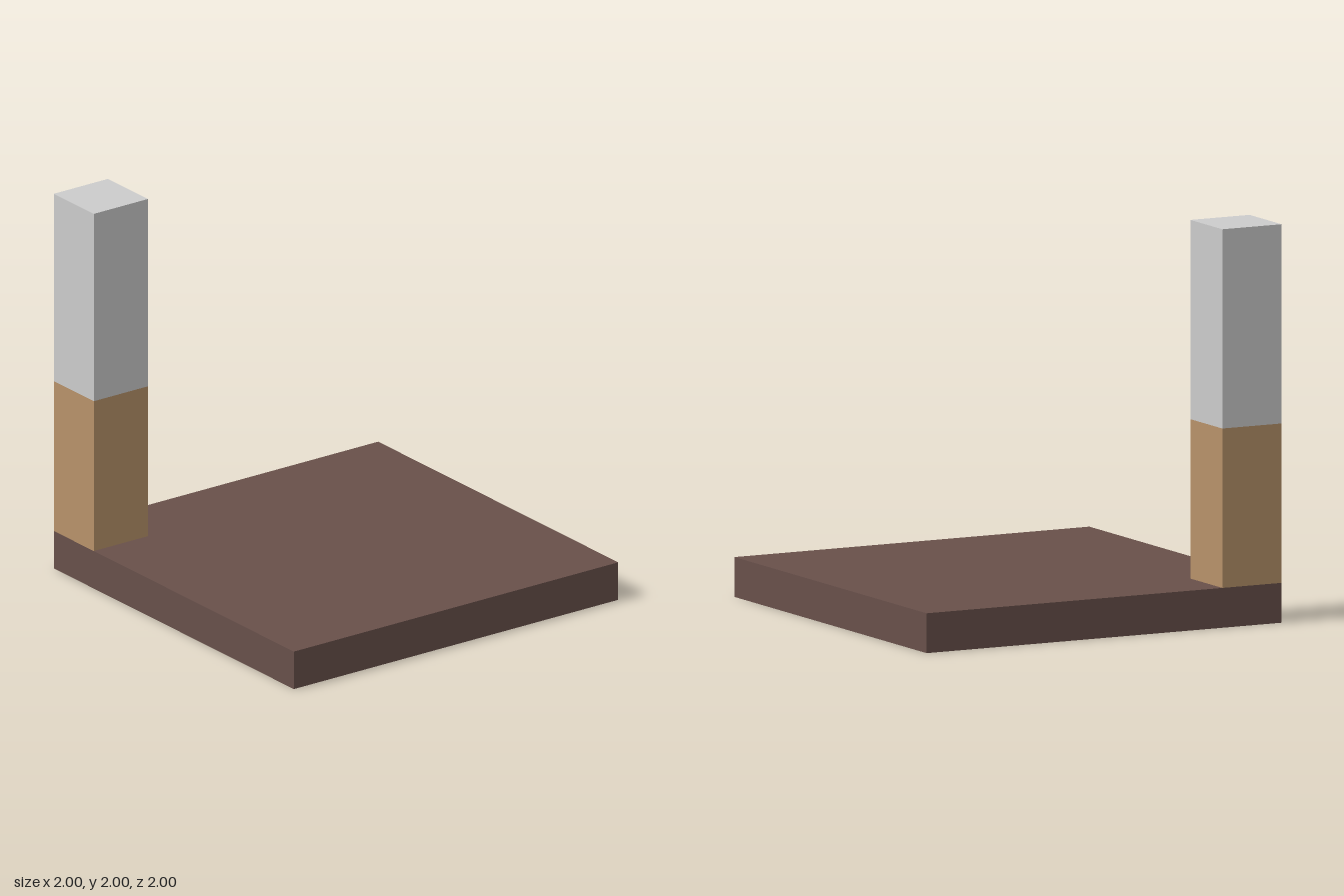
import * as THREE from 'three';

const POST = 1 / 3; // square post width

// Box given by its size, resting on height y, centred on (x, z)
function block(name, color, [w, h, d], [x, y, z]) {
  const geometry = new THREE.BoxGeometry(w, h, d);
  const mesh = new THREE.Mesh(geometry, new THREE.MeshStandardMaterial({ color }));
  mesh.name = name;
  mesh.position.set(x, y + h / 2, z);
  return mesh;
}

export function createModel() {
  const model = new THREE.Group();
  model.name = 'cornerPostOnBase';
  const corner = -1 + POST / 2;

  // Square slab
  model.add(block('base', 0x68504a, [2, 0.2, 2], [0, 0, 0]));

  // Two-part post flush with the back corner
  model.add(block('lowerPost', 0xb7926a, [POST, 0.8, POST], [corner, 0.2, corner]));
  model.add(block('upperPost', 0xcccccc, [POST, 1, POST], [corner, 1, corner]));

  return model;
}
